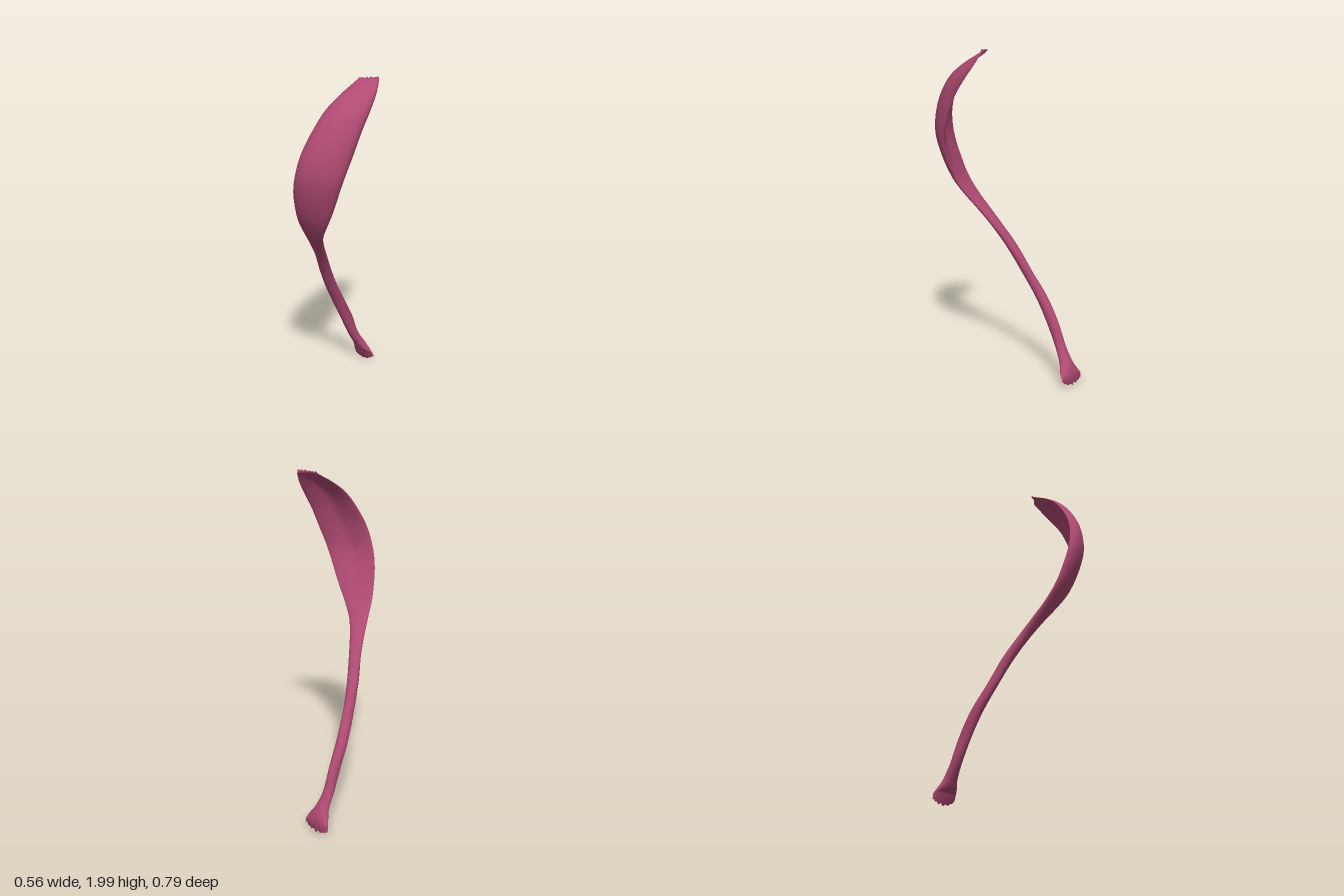
import * as THREE from 'three';

// Sections from foot to tip: y, left edge x z, right edge x z, front bulge, back bulge
const SECTIONS = [
  [0.06, -0.275, -0.38, -0.105, -0.38, 0.012, -0.006],
  [0.095, -0.256, -0.36, -0.118, -0.36, 0.032, -0.022],
  [0.14, -0.236, -0.335, -0.145, -0.335, 0.034, -0.032],
  [0.22, -0.23, -0.287, -0.165, -0.287, 0.033, -0.032],
  [0.36, -0.222, -0.223, -0.166, -0.223, 0.042, -0.042],
  [0.5, -0.215, -0.146, -0.153, -0.146, 0.04, -0.04],
  [0.65, -0.18, -0.053, -0.126, -0.053, 0.039, -0.039],
  [0.8, -0.148, 0.032, -0.08, 0.032, 0.034, -0.034],
  [0.92, -0.105, 0.107, -0.03, 0.102, 0.029, -0.029],
  [1.03, -0.07, 0.187, 0.025, 0.172, 0.027, -0.025],
  [1.1, -0.05, 0.24, 0.068, 0.212, 0.028, -0.02],
  [1.2, -0.03, 0.305, 0.135, 0.238, 0.036, -0.01],
  [1.29, -0.015, 0.34, 0.18, 0.24, 0.05, 0],
  [1.4, 0.005, 0.37, 0.222, 0.238, 0.06, 0.012],
  [1.5, 0.027, 0.376, 0.25, 0.222, 0.07, 0.022],
  [1.62, 0.052, 0.353, 0.264, 0.172, 0.078, 0.026],
  [1.74, 0.075, 0.29, 0.267, 0.112, 0.08, 0.027],
  [1.84, 0.09, 0.21, 0.26, 0.042, 0.077, 0.027],
  [1.91, 0.107, 0.12, 0.248, -0.01, 0.056, 0.022],
  [1.965, 0.12, 0.025, 0.233, -0.045, 0.03, 0.01],
  [1.985, 0.127, -0.005, 0.219, -0.06, 0.018, 0.008],
];
const AROUND = 32;
const STEPS = 80;

function muscleGeometry() {
  const curve = (pick) => new THREE.CatmullRomCurve3(SECTIONS.map(pick));
  const leftEdge = curve((s) => new THREE.Vector3(s[1], s[0], s[2]));
  const rightEdge = curve((s) => new THREE.Vector3(s[3], s[0], s[4]));
  const bulge = curve((s) => new THREE.Vector3(s[5], s[6], s[0]));
  const positions = [];
  const index = [];

  for (let i = 0; i <= STEPS; i++) {
    const t = i / STEPS;
    const a = leftEdge.getPoint(t);
    const b = rightEdge.getPoint(t);
    const h = bulge.getPoint(t);
    const normal = new THREE.Vector3(a.z - b.z, 0, b.x - a.x).normalize();
    for (let j = 0; j < AROUND; j++) {
      const angle = (j / AROUND) * Math.PI * 2;
      const s = Math.sin(angle);
      const across = (1 - Math.cos(angle)) / 2;
      // The hollow back has a thickened lip along each edge
      const lip = 0.7 * Math.max(0, h.y) * Math.abs(Math.sin(2 * angle));
      const offset = s >= 0 ? h.x * s : -h.y * s - lip;
      const p = a.clone().lerp(b, across).addScaledVector(normal, offset);
      // Ragged fibres where the muscle attaches at both ends
      const tooth = (j % 2 ? 0.6 : -0.6) + 0.4 * Math.sin(j * 2.3);
      if (i === 0) {
        p.y += 0.008 * (tooth - 1) - 0.043 * Math.abs(s) + 0.015 * across;
        p.z += 0.004 * tooth;
      }
      if (i === STEPS) p.y += tooth * 0.006 + 0.012 * across;
      positions.push(p.x, p.y, p.z);
    }
  }
  for (let i = 0; i < STEPS; i++) {
    for (let j = 0; j < AROUND; j++) {
      const k = (j + 1) % AROUND;
      const a = i * AROUND + j, b = i * AROUND + k;
      index.push(a, b, b + AROUND, a, b + AROUND, a + AROUND);
    }
  }
  // End caps: join the front and back halves of the rim
  const top = STEPS * AROUND;
  for (let j = 0; j < AROUND / 2; j++) {
    const m = (AROUND - j) % AROUND, n = AROUND - j - 1;
    index.push(j, m, n, j, n, j + 1);
    index.push(top + j, top + n, top + m, top + j, top + j + 1, top + n);
  }
  const geometry = new THREE.BufferGeometry();
  geometry.setAttribute('position', new THREE.Float32BufferAttribute(positions, 3));
  geometry.setIndex(index);
  geometry.computeVertexNormals();
  return geometry;
}

export function createModel() {
  const group = new THREE.Group();
  group.name = 'muscle';
  const flesh = new THREE.MeshStandardMaterial({ color: 0xb04a72 });
  flesh.name = 'muscle red';
  const body = new THREE.Mesh(muscleGeometry(), flesh);
  body.name = 'bellyAndTendon';
  group.add(body);
  return group;
}
